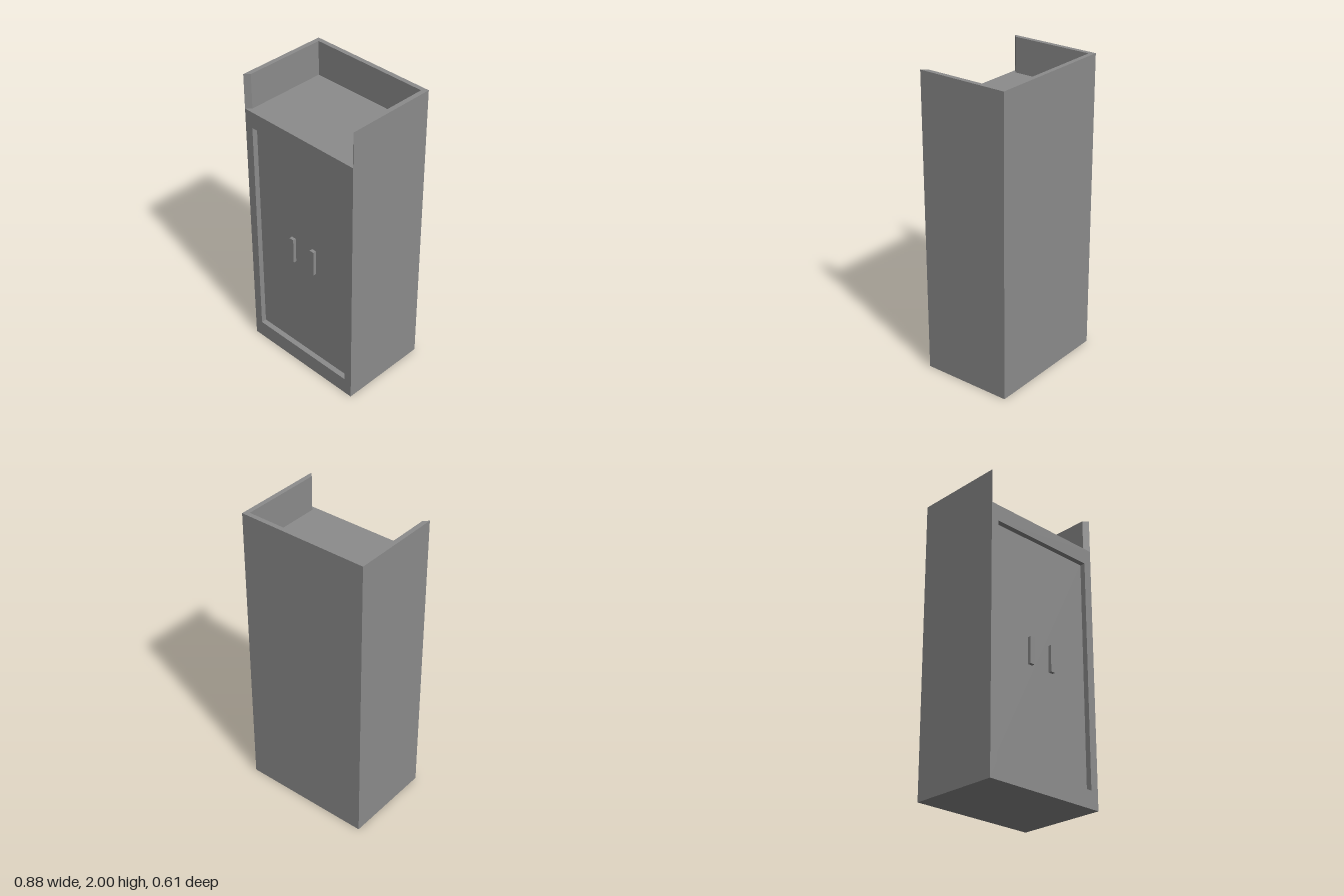
import * as THREE from 'three';

const W = 0.441, D = 0.307, H = 2;      // half width, half depth, height
const T = 0.031, SHELF = 1.767;         // wall thickness, shelf height
const DOOR = { x: 0.384, y0: 0.116, y1: 1.657, depth: 0.036 };

const shapeOf = (points) => new THREE.Shape(points.map(([x, y]) => new THREE.Vector2(x, y)));

export function createModel() {
  const group = new THREE.Group();
  group.name = 'cabinet';
  const grey = new THREE.MeshStandardMaterial({ color: 0x8c8c8c });
  grey.name = 'grey';

  const add = (name, geometry, x = 0, y = 0, z = 0) => {
    const mesh = new THREE.Mesh(geometry, grey);
    mesh.name = name;
    mesh.position.set(x, y, z);
    group.add(mesh);
    return mesh;
  };

  // Back and side walls in one U, with mitred front edges
  const inX = W - T, inZ = D - T;
  const walls = shapeOf([
    [-W, -D], [-inX, -inZ], [-inX, inZ], [inX, inZ],
    [inX, -inZ], [W, -D], [W, D], [-W, D],
  ]);
  add('walls', new THREE.ExtrudeGeometry(walls, { depth: H, bevelEnabled: false }).rotateX(-Math.PI / 2));

  // Top shelf and underside fill the space between the walls
  const infill = (s) => shapeOf([
    [-W, s * D], [W, s * D], [inX, s * inZ], [inX, -s * inZ], [-inX, -s * inZ], [-inX, s * inZ],
  ]);
  add('topShelf', new THREE.ShapeGeometry(infill(-1)).rotateX(-Math.PI / 2), 0, SHELF, 0);
  add('underside', new THREE.ShapeGeometry(infill(1)).rotateX(Math.PI / 2));

  // Front frame with the door opening
  const { x: dx, y0, y1, depth } = DOOR;
  const frame = shapeOf([[-W, 0], [W, 0], [W, SHELF], [-W, SHELF]]);
  frame.holes.push(shapeOf([[-dx, y0], [-dx, y1], [dx, y1], [dx, y0]]));
  add('frontFrame', new THREE.ShapeGeometry(frame), 0, 0, D);

  // Recessed door panel and the reveals around it
  const doorH = y1 - y0, midY = (y0 + y1) / 2, revealZ = D - depth / 2;
  add('doorPanel', new THREE.PlaneGeometry(dx * 2, doorH), 0, midY, D - depth);
  for (const s of [-1, 1]) {
    add('sideReveal', new THREE.PlaneGeometry(depth, doorH).rotateY(-s * Math.PI / 2), s * dx, midY, revealZ);
    add('endReveal', new THREE.PlaneGeometry(dx * 2, depth).rotateX(s * Math.PI / 2), 0, midY + s * doorH / 2, revealZ);
  }

  // Pair of bar handles
  for (const s of [-1, 1]) {
    add('handle', new THREE.BoxGeometry(0.033, 0.177, 0.022), s * 0.088, 0.887, D - depth + 0.011);
  }
  return group;
}
